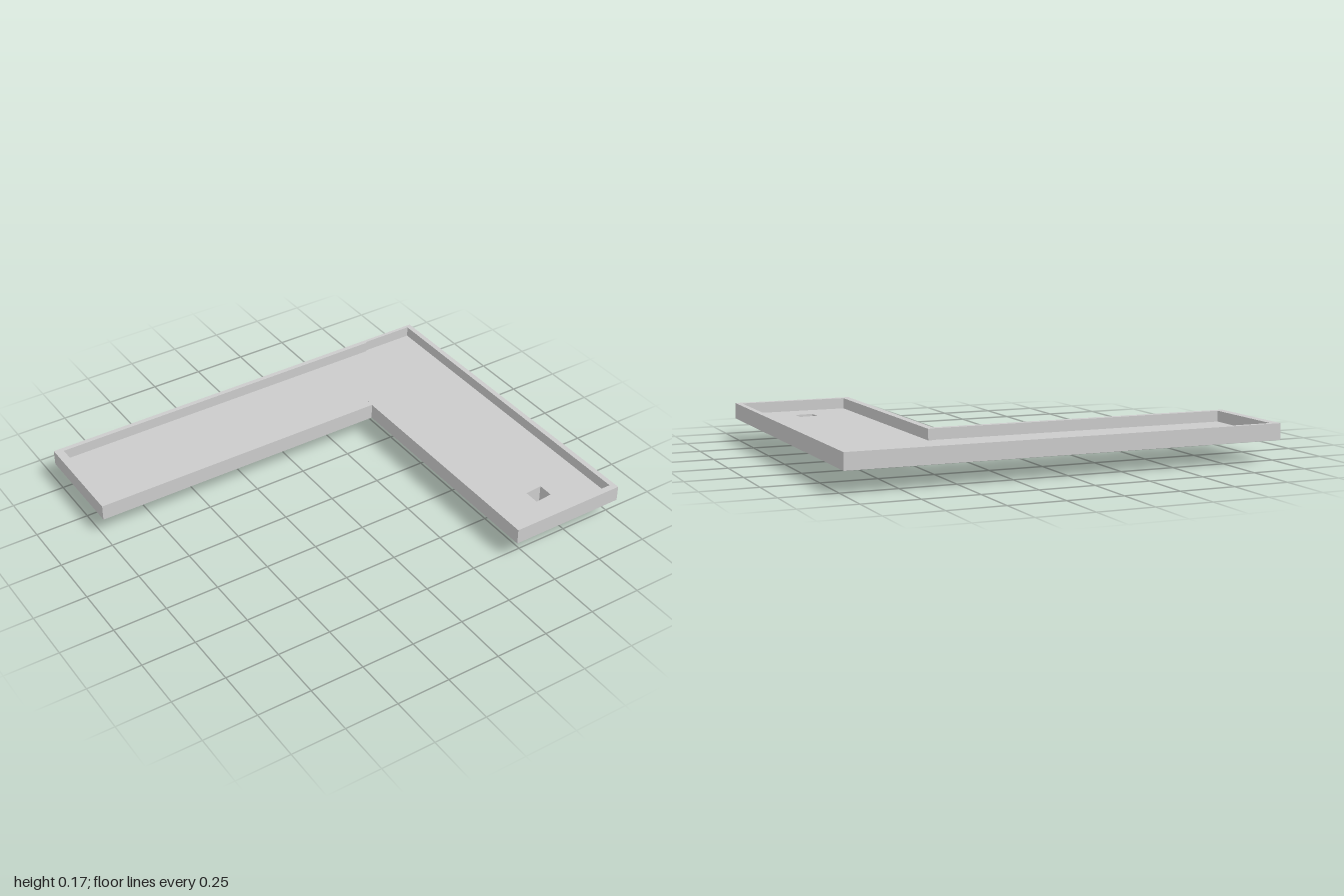
import * as THREE from 'three';

const material = new THREE.MeshStandardMaterial({ color: 0xcccccc, flatShading: true });
const thinMaterial = new THREE.MeshStandardMaterial({ color: 0xcccccc, flatShading: true, side: THREE.DoubleSide });

// Plan outlines as [x, z], counter-clockwise seen from above
const outer = [[-1, -0.32], [0.435, -0.32], [0.435, 0.81], [1, 0.81], [1, -0.81], [-1, -0.81]];
const inner = [
  [-0.96, -0.35], [0.44, -0.35], [0.44, -0.356], [0.47, -0.356], [0.47, 0.78],
  [0.975, 0.78], [0.975, -0.794], [0.72, -0.794], [0.72, -0.787], [-0.96, -0.787],
];
const drain = [[0.67, 0.648], [0.755, 0.641], [0.755, 0.568], [0.67, 0.575]];

const bottomY = 0.098, floorY = 0.122, topY = 0.172;

// Upright wall following a closed outline, facing outward
function wall(points, y0, y1) {
  const pos = [];
  points.forEach(([ax, az], i) => {
    const [bx, bz] = points[(i + 1) % points.length];
    pos.push(ax, y0, az, bx, y0, bz, bx, y1, bz, ax, y0, az, bx, y1, bz, ax, y1, az);
  });
  const geometry = new THREE.BufferGeometry();
  geometry.setAttribute('position', new THREE.Float32BufferAttribute(pos, 3));
  geometry.computeVertexNormals();
  return geometry;
}

// Level face with an optional hole, facing up or down
function level(points, hole, y, up = true) {
  const toPlan = (list) => list.map(([x, z]) => new THREE.Vector2(x, up ? -z : z));
  const shape = new THREE.Shape(toPlan(points));
  if (hole) shape.holes.push(new THREE.Path(toPlan(hole)));
  return new THREE.ShapeGeometry(shape).rotateX(up ? -Math.PI / 2 : Math.PI / 2).translate(0, y, 0);
}

export function createModel() {
  const model = new THREE.Group();
  model.name = 'cornerTray';
  const add = (name, geometry, mat = material) => {
    const mesh = new THREE.Mesh(geometry, mat);
    mesh.name = name;
    model.add(mesh);
  };

  // L-shaped tray with a raised rim
  add('outerWall', wall(outer, bottomY, topY));
  add('rimTop', level(outer, inner, topY));
  add('innerWall', wall([...inner].reverse(), floorY, topY));
  add('trayFloor', level(inner, drain, floorY));
  add('underside', level(outer, drain, bottomY, false));

  // Hollow square drain under the front arm
  add('drainWall', wall(drain, 0, floorY), thinMaterial);
  add('drainBottom', level(drain, null, 0, false), thinMaterial);
  return model;
}
